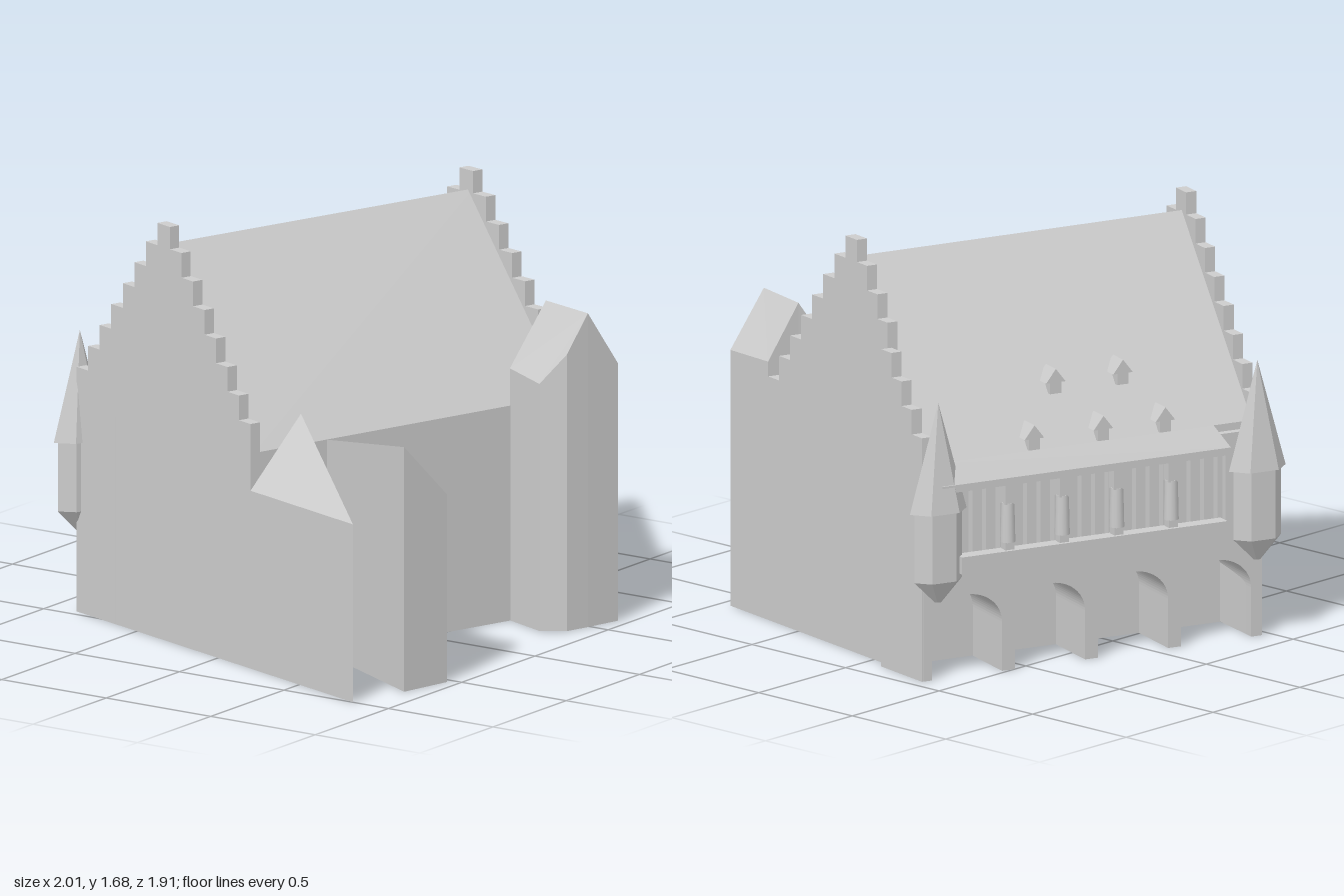
import * as THREE from 'three';

const stone = new THREE.MeshStandardMaterial({ color: 0xcccccc });
stone.name = 'pale grey stone';

// Solid over a plan polygon; each corner is [x, z, top, base = 0]
function prism(name, corners) {
  let pts = corners;
  let plan = pts.map(([x, z]) => new THREE.Vector2(x, -z));
  if (THREE.ShapeUtils.isClockWise(plan)) {
    pts = [...pts].reverse();
    plan = plan.reverse();
  }
  const top = pts.map(([x, z, y]) => [x, y, z]);
  const low = pts.map(([x, z, , b = 0]) => [x, b, z]);
  const out = [];
  for (const [a, b, c] of THREE.ShapeUtils.triangulateShape(plan, [])) {
    out.push(top[a], top[b], top[c], low[a], low[c], low[b]);
  }
  pts.forEach((_, i) => {
    const j = (i + 1) % pts.length;
    out.push(low[i], low[j], top[j], low[i], top[j], top[i]);
  });
  const geo = new THREE.BufferGeometry();
  geo.setAttribute('position', new THREE.Float32BufferAttribute(out.flat(), 3));
  geo.computeVertexNormals();
  return named(name, geo);
}

function named(name, geo, x = 0, y = 0, z = 0) {
  const mesh = new THREE.Mesh(geo, stone);
  mesh.name = name;
  mesh.position.set(x, y, z);
  return mesh;
}

const box = (name, w, h, d, x, y, z) => named(name, new THREE.BoxGeometry(w, h, d), x, y, z);

// Crow-stepped gable wall: a tall block at the ridge and falling steps either side
function steppedGable(name, front, ridge, back, inward, jog) {
  const group = new THREE.Group();
  group.name = name;
  const thick = 0.045;
  const along = (end, t) => [ridge[0] + (end[0] - ridge[0]) * t, ridge[1] + (end[1] - ridge[1]) * t];
  const column = (a, b, height, shift) => {
    const dx = inward * thick * 0.945, dz = inward * thick * 0.327;
    group.add(prism('gableStep', [
      [a[0] + shift, a[1], height], [b[0] + shift, b[1], height],
      [b[0] + shift + dx, b[1] + dz, height], [a[0] + shift + dx, a[1] + dz, height],
    ]));
  };
  const edge = (k) => (0.04 + 0.073 * k) / 0.551;
  column(along(front, edge(0)), along(back, edge(0)), 1.68, 0);
  for (const end of [front, back]) {
    for (let k = 1; k <= 7; k++) {
      const shift = end === back && k > 3 ? jog : 0;
      column(along(end, edge(k - 1)), along(end, edge(k)), 1.69 - 0.1 * k, shift);
    }
  }
  return group;
}

// Six-sided corner turret, wider along the facade
function turret(x, z) {
  const group = new THREE.Group();
  group.name = 'cornerTurret';
  const part = (name, rTop, rLow, y0, y1) => {
    const geo = new THREE.CylinderGeometry(rTop, rLow, y1 - y0, 6, 1, false, Math.PI / 6).toNonIndexed();
    geo.scale(1, 1, 0.58);
    geo.computeVertexNormals();
    group.add(named(name, geo, 0, (y0 + y1) / 2, 0));
  };
  part('turretFoot', 0.105, 0.015, 0.32, 0.41);
  part('turretBody', 0.105, 0.105, 0.41, 0.69);
  part('turretSpire', 0, 0.125, 0.69, 1.13);
  group.position.set(x, 0, z);
  return group;
}

// Arcaded and glazed facade; local +z points outward
function buildFacade() {
  const group = new THREE.Group();
  group.name = 'facade';

  // wall with four open arches and a long window opening
  const wall = new THREE.Shape();
  wall.moveTo(-0.74, 0);
  for (let i = 0; i < 4; i++) {
    const c = -0.55 + i * 0.366;
    wall.lineTo(c - 0.155, 0);
    wall.lineTo(c - 0.155, 0.2);
    wall.absellipse(c, 0.2, 0.155, 0.13, Math.PI, 0, true);
    wall.lineTo(c + 0.155, 0);
  }
  wall.lineTo(0.74, 0);
  wall.lineTo(0.74, 0.84);
  wall.lineTo(-0.74, 0.84);
  const opening = new THREE.Path();
  opening.moveTo(-0.59, 0.48);
  opening.lineTo(-0.59, 0.77);
  opening.lineTo(0.59, 0.77);
  opening.lineTo(0.59, 0.48);
  wall.holes.push(opening);
  const geo = new THREE.ExtrudeGeometry(wall, { depth: 0.25, bevelEnabled: false, curveSegments: 18 });
  geo.translate(0, 0, -0.25);
  group.add(named('arcadeWall', geo));

  // recessed window band, mullions and balcony
  group.add(box('windowPanel', 1.2, 0.31, 0.02, 0, 0.625, -0.06));
  for (let i = 0; i < 20; i++) {
    group.add(box('mullion', 0.022, 0.3, 0.035, -0.57 + i * 0.06, 0.625, -0.025));
  }
  group.add(box('balcony', 1.17, 0.07, 0.06, -0.015, 0.465, 0.025));

  // engaged columns
  for (let i = 0; i < 4; i++) {
    const x = -0.38 + i * 0.24;
    group.add(box('columnBase', 0.04, 0.05, 0.04, x, 0.515, 0.02));
    group.add(named('column', new THREE.CylinderGeometry(0.026, 0.03, 0.16, 12), x, 0.61, 0.02));
    group.add(box('columnHead', 0.045, 0.1, 0.045, x, 0.735, 0.02));
  }

  // dormers on the rear roof slope
  const gable = new THREE.Shape([[-0.025, 0], [0.025, 0], [0.025, 0.045], [0.043, 0.045],
    [0, 0.1], [-0.043, 0.045], [-0.025, 0.045]].map(([x, y]) => new THREE.Vector2(x, y)));
  const dormerGeo = new THREE.ExtrudeGeometry(gable, { depth: 0.085, bevelEnabled: false });
  dormerGeo.translate(0, 0, -0.085);
  for (const [x, z] of [[0.32, 0.01], [0.047, 0.01], [-0.257, 0.01], [0.2, -0.12], [-0.096, -0.12]]) {
    group.add(named('dormer', dormerGeo, x, 0.8 + 1.36 * (0.06 - z) + 0.015, z));
  }

  group.add(turret(-0.684, 0.015), turret(0.717, 0.025));
  group.position.set(0.245, 0, -0.615);
  group.rotation.y = Math.PI - 0.347;
  return group;
}

export function createModel() {
  const model = new THREE.Group();
  model.name = 'townHall';

  // main body in two halves meeting at the ridge
  model.add(prism('frontHall', [[-0.785, 0.205, 0.87], [0.68, 0.697, 0.87], [0.785, 0.155, 1.6], [-0.615, -0.335, 1.6]]));
  model.add(prism('rearHall', [[-0.615, -0.335, 1.59], [0.785, 0.155, 1.59], [0.84, -0.13, 1.2], [-0.525, -0.628, 1.2]]));

  // rear roof slab with eave lip
  const slab = [[-0.615, -0.335, 1.6], [0.785, 0.155, 1.6], [0.92, -0.372, 0.88],
    [0.915, -0.44, 0.8], [-0.28, -0.872, 0.8], [-0.26, -0.798, 0.88], [-0.45, -0.866, 0.88]];
  model.add(prism('rearRoof', slab.map(([x, z, y]) => [x, z, y, y - 0.03])));

  model.add(steppedGable('leftHandGable', [-0.8, 0.2], [-0.63, -0.335], [-0.46, -0.87], 1, 0));
  model.add(steppedGable('rightHandGable', [0.692, 0.7], [0.805, 0.15], [0.912, -0.36], -1, 0.036));

  // front annex with its own pitched roof
  model.add(prism('annexOuterHalf', [[0.49, 0.91, 1.27], [0.64, 0.95, 1.04], [0.692, 0.7, 1.05], [0.56, 0.66, 1.27]]));
  model.add(prism('annexInnerHalf', [[0.49, 0.91, 1.27], [0.56, 0.66, 1.27], [0.4, 0.6, 1.02], [0.33, 0.79, 1.0], [0.39, 0.88, 1.12]]));

  // wedge wall and slanting porch
  model.add(prism('wedgeWall', [[-1, 0.83, 0.72], [-0.57, 0.28, 0.995], [-0.8, 0.2, 0.72]]));
  model.add(prism('porch', [[-0.75, 0.9, 0.99], [-0.53, 0.95, 0.76], [-0.51, 0.87, 0.76],
    [-0.57, 0.84, 0.83], [-0.41, 0.34, 0.82], [-0.45, 0.32, 0.87]]));

  model.add(buildFacade());
  return model;
}
